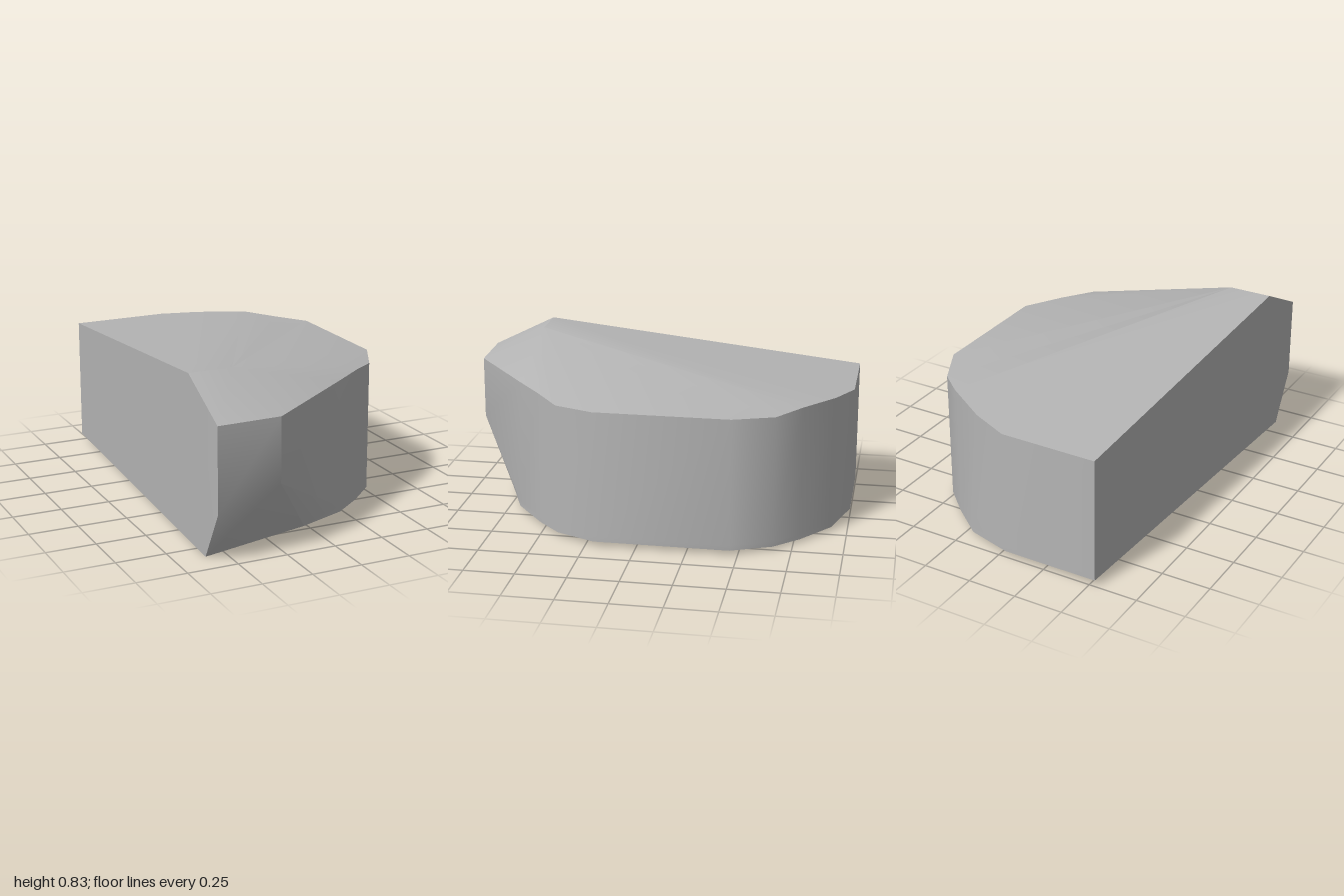
import * as THREE from 'three';
import { toCreasedNormals } from 'three/addons/utils/BufferGeometryUtils.js';

// Builds a mesh from a list of triangles, smoothing across gentle edges only.
function facets(name, triangles, material) {
  const geometry = new THREE.BufferGeometry();
  geometry.setAttribute('position', new THREE.Float32BufferAttribute(triangles.flat(2), 3));
  const mesh = new THREE.Mesh(toCreasedNormals(geometry, 0.53), material);
  mesh.name = name;
  return mesh;
}

// Fans a run of points out from one corner.
function fan(corner, points) {
  return points.slice(1).map((p, i) => [corner, points[i], p]);
}

export function createModel() {
  const group = new THREE.Group();
  group.name = 'halfRoundBlock';
  const grey = new THREE.MeshStandardMaterial({ color: 0xb4b4b4 });
  grey.name = 'grey';

  // Rim and foot of the curved wall, from the front round to the back
  const rim = [
    [-0.6, 0.67, 1], [-0.28, 0.67, 0.99], [0.19, 0.688, 0.66], [0.37, 0.695, 0.53],
    [0.5, 0.677, 0.41], [0.6, 0.685, 0.21], [0.6, 0.685, -0.46], [0.5, 0.677, -0.66],
    [0.37, 0.692, -0.78], [0.15, 0.681, -0.92], [-0.04, 0.672, -1], [-0.53, 0.67, -1],
  ];
  const foot = [
    [-0.6, 0, 0.86], [-0.05, 0.03, 0.78], [0.2, 0.028, 0.68], [0.37, 0.013, 0.53],
    [0.5, 0.018, 0.41], [0.6, 0.023, 0.21], [0.6, 0.023, -0.46], [0.5, 0.018, -0.66],
    [0.37, 0.013, -0.78], [0.2, 0.02, -0.92], [-0.04, 0.033, -1], [-0.53, 0.033, -1],
  ];
  // Upper edge of the front chamfer; it runs out into the foot along the curve
  const chamfer = foot.map((p, i) => p.map((v, k) => v + (rim[i][k] - v) * 0.04));
  chamfer[0] = [-0.6, 0.25, 1];
  chamfer[1] = [-0.28, 0.35, 0.99];

  // Curved wall with the chamfer at the front
  const wall = [];
  for (const [low, high] of [[foot, chamfer], [chamfer, rim]]) {
    for (let i = 0; i < rim.length - 1; i++) {
      wall.push([low[i], low[i + 1], high[i + 1]], [low[i], high[i + 1], high[i]]);
    }
  }
  group.add(facets('curvedWall', wall, grey));

  // Top: short ridge, front slope, side slope and long back slope
  const ridgeA = [-0.6, 0.83, 0.68];
  const ridgeB = [-0.38, 0.83, 0.68];
  const top = [
    [ridgeA, rim[0], ridgeB],
    ...fan(ridgeB, rim.slice(0, 9)),
    ...fan(ridgeA, [ridgeB, ...rim.slice(8)]),
  ];
  group.add(facets('slopedTop', top, grey));

  // Underside
  group.add(facets('underside', fan(foot[0], foot.slice(1).reverse()), grey));

  // Flat cut side
  const last = rim.length - 1;
  const outline = [rim[last], chamfer[last], foot[last], foot[0], chamfer[0], rim[0]];
  group.add(facets('flatSide', fan(ridgeA, outline), grey));

  return group;
}
